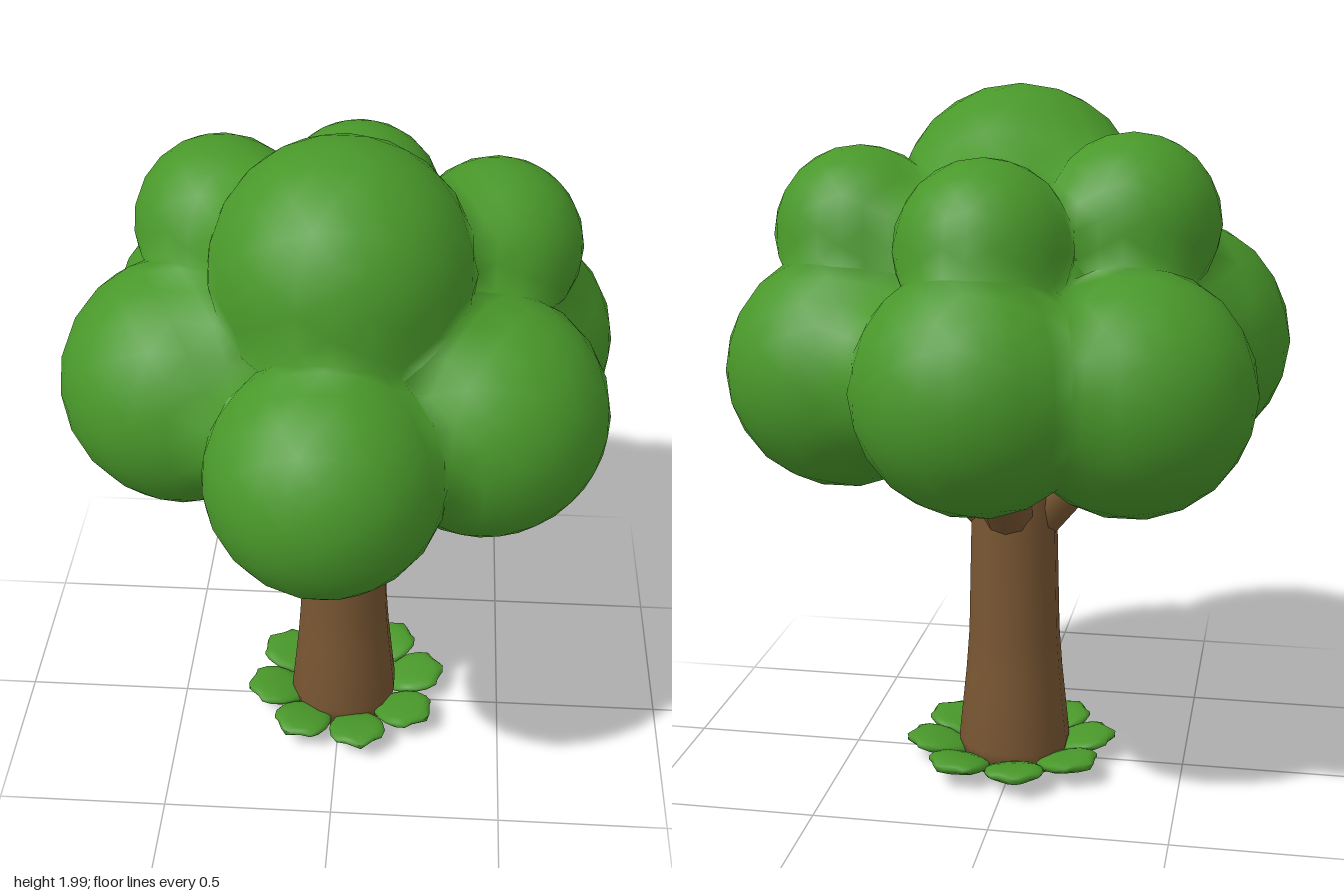
import * as THREE from 'three';

const leafGreen = new THREE.MeshStandardMaterial({ color: 0x49982a });
leafGreen.name = 'leafGreen';
const barkBrown = new THREE.MeshStandardMaterial({ color: 0x785632 });
barkBrown.name = 'barkBrown';

// Foliage clumps: x, y, z, radius
const CLUMPS = [
  [0.01, 1.645, 0.11, 0.357],   // crown
  [-0.01, 1.245, 0.48, 0.322],  // lower ring, from the front round
  [0.40, 1.265, 0.19, 0.34],
  [0.44, 1.245, -0.24, 0.33],
  [0.03, 1.25, -0.47, 0.335],
  [-0.36, 1.23, -0.34, 0.337],
  [-0.42, 1.29, 0.11, 0.345],
  [0.03, 1.6, -0.355, 0.24],    // upper back clumps
  [-0.335, 1.65, -0.13, 0.242],
  [0.415, 1.605, -0.13, 0.242],
  [0, 1.4, -0.02, 0.4],         // core
];

function mesh(name, geometry, material, parent) {
  const m = new THREE.Mesh(geometry, material);
  m.name = name;
  parent.add(m);
  return m;
}

// Normal of all clumps melted together, so neighbouring clumps shade softly into each other
function blendedNormal(p) {
  const n = new THREE.Vector3();
  for (const [x, y, z, r] of CLUMPS) {
    const d = new THREE.Vector3(p.x - x, p.y - y, p.z - z);
    const length = d.length() || 1e-6;
    n.addScaledVector(d, Math.exp(-28 * (length - r)) / length);
  }
  return n.normalize();
}

function clumpGeometry([x, y, z, r]) {
  const g = new THREE.IcosahedronGeometry(r, 3).translate(x, y, z);
  const p = new THREE.Vector3();
  for (let i = 0; i < g.attributes.position.count; i++) {
    const n = blendedNormal(p.fromBufferAttribute(g.attributes.position, i));
    g.attributes.normal.setXYZ(i, n.x, n.y, n.z);
  }
  return g;
}

// Tapered limb between two points
function limb(name, from, to, r0, r1, parent) {
  const a = new THREE.Vector3(...from), b = new THREE.Vector3(...to);
  const dir = b.clone().sub(a);
  const m = mesh(name, new THREE.CylinderGeometry(r1, r0, dir.length(), 10), barkBrown, parent);
  m.position.copy(a).add(b).multiplyScalar(0.5);
  m.quaternion.setFromUnitVectors(new THREE.Vector3(0, 1, 0), dir.normalize());
}

// Plump leaf pointing along +x, with a narrowed base and a curled-up tip
function leafGeometry() {
  const g = new THREE.IcosahedronGeometry(1, 2);
  const pos = g.attributes.position;
  for (let i = 0; i < pos.count; i++) {
    const x = pos.getX(i), y = pos.getY(i), z = pos.getZ(i);
    const lobes = x > 0 ? 1 + 0.12 * Math.cos(z * 7) : 1;
    pos.setXYZ(i, x * 0.095 * lobes, y * 0.026 + 0.02 * x + 0.012 * z * z, z * 0.085 * (1 + 0.2 * x));
  }
  g.computeVertexNormals();
  // Smooth the shading by averaging normals that share a corner
  const sums = new Map(), key = (i) => [pos.getX(i), pos.getY(i), pos.getZ(i)].map((v) => v.toFixed(4)).join();
  const n = new THREE.Vector3();
  for (let i = 0; i < pos.count; i++) {
    if (!sums.has(key(i))) sums.set(key(i), new THREE.Vector3());
    sums.get(key(i)).add(n.fromBufferAttribute(g.attributes.normal, i));
  }
  for (let i = 0; i < pos.count; i++) {
    n.copy(sums.get(key(i))).normalize();
    g.attributes.normal.setXYZ(i, n.x, n.y, n.z);
  }
  return g;
}

export function createModel() {
  const tree = new THREE.Group();
  tree.name = 'tree';

  // Trunk, flaring towards the ground
  const profile = [[0, 0.01], [0.155, 0.01], [0.166, 0.08], [0.143, 0.3], [0.134, 0.42], [0.126, 0.75], [0.115, 1.15], [0, 1.15]];
  const trunk = mesh('trunk', new THREE.LatheGeometry(profile.map(([x, y]) => new THREE.Vector2(x, y)), 14), barkBrown, tree);
  trunk.position.set(0.008, 0, -0.014);

  // Four branches
  const branches = new THREE.Group();
  branches.name = 'branches';
  tree.add(branches);
  limb('leftBranch', [0, 0.73, -0.01], [0.45, 1.12, 0], 0.08, 0.068, branches);
  limb('rightBranch', [0, 0.71, -0.01], [-0.36, 1.12, 0], 0.08, 0.068, branches);
  limb('frontBranch', [0, 0.77, 0], [0, 1.08, 0.45], 0.08, 0.068, branches);
  limb('backBranch', [0.01, 0.73, 0], [0.02, 1.1, -0.42], 0.08, 0.068, branches);

  // Foliage
  const foliage = new THREE.Group();
  foliage.name = 'foliage';
  tree.add(foliage);
  CLUMPS.forEach((c, i) => mesh('foliageClump' + (i + 1), clumpGeometry(c), leafGreen, foliage));

  // Ring of leaves round the foot
  const ring = new THREE.Group();
  ring.name = 'groundLeaves';
  ring.position.set(0.016, 0.055, -0.02);
  tree.add(ring);
  const leaf = leafGeometry();
  for (let i = 0; i < 8; i++) {
    const a = (i / 8) * Math.PI * 2 + 0.2;
    const m = mesh('groundLeaf' + (i + 1), leaf, leafGreen, ring);
    m.position.set(Math.cos(a) * 0.215, 0, -Math.sin(a) * 0.215);
    m.rotation.y = a;
  }
  // Lowest point rests on the ground
  const box = new THREE.Box3().setFromObject(tree);
  tree.position.y = -box.min.y;
  return tree;
}
